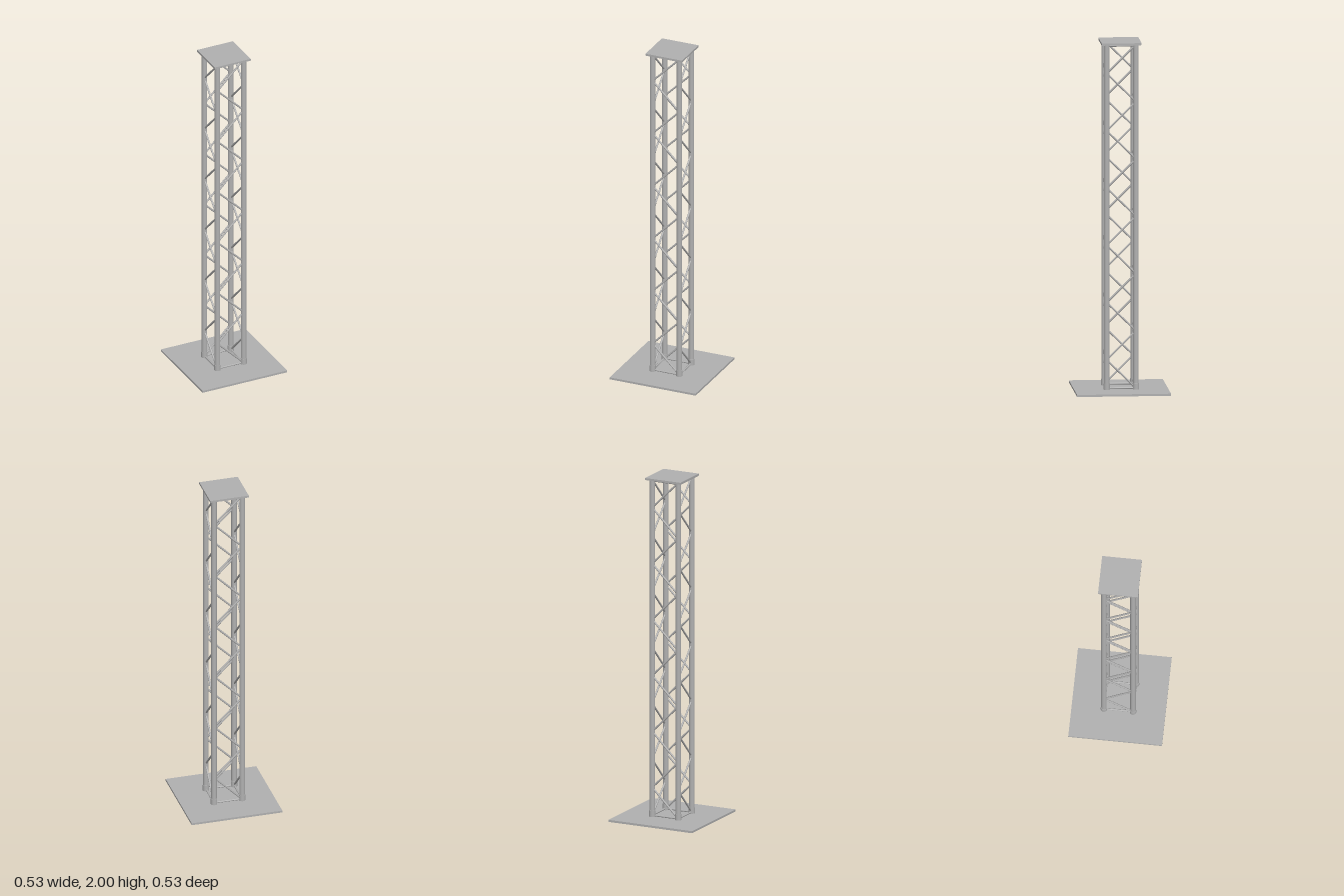
import * as THREE from 'three';

const LEG = 0.083;      // leg centre offset from the axis
const BASE_H = 0.012;
const TOP_H = 0.012;

export function createModel() {
  const model = new THREE.Group();
  model.name = 'trussTower';
  const metal = new THREE.MeshStandardMaterial({ color: 0xb0b0b0 });
  metal.name = 'grey metal';

  const add = (parent, name, geometry, x, y, z) => {
    const mesh = new THREE.Mesh(geometry, metal);
    mesh.name = name;
    mesh.position.set(x, y, z);
    parent.add(mesh);
    return mesh;
  };

  // Round bar between two points
  const bar = (parent, name, a, b, radius) => {
    const dir = b.clone().sub(a);
    const mesh = add(parent, name, new THREE.CylinderGeometry(radius, radius, dir.length(), 10),
      ...a.clone().add(b).multiplyScalar(0.5).toArray());
    mesh.quaternion.setFromUnitVectors(new THREE.Vector3(0, 1, 0), dir.normalize());
  };

  // Floor plate and top plate
  add(model, 'basePlate', new THREE.BoxGeometry(0.534, BASE_H, 0.534), 0, BASE_H / 2, 0);
  add(model, 'topPlate', new THREE.BoxGeometry(0.227, TOP_H, 0.227), 0, 2 - TOP_H / 2, 0);

  // Four legs with foot collars
  const legHeight = 2 - TOP_H - BASE_H;
  for (const x of [-LEG, LEG]) {
    for (const z of [-LEG, LEG]) {
      add(model, 'leg', new THREE.CylinderGeometry(0.016, 0.016, legHeight, 24), x, BASE_H + legHeight / 2, z);
      add(model, 'footCollar', new THREE.CylinderGeometry(0.0185, 0.0185, 0.036, 24), x, BASE_H + 0.018, z);
    }
  }

  // Each side has one zigzag lacing; opposite sides cross in elevation
  const bays = 12, y0 = 0.018, step = 0.1642;
  for (let side = 0; side < 4; side++) {
    const face = new THREE.Group();
    face.name = 'lacedSide';
    face.rotation.y = side * Math.PI / 2;
    for (let i = 0; i < bays; i++) {
      const s = i % 2 ? 1 : -1;
      bar(face, 'diagonalBrace',
        new THREE.Vector3(-s * LEG, y0 + i * step, LEG),
        new THREE.Vector3(s * LEG, y0 + (i + 1) * step, LEG), 0.0055);
    }
    // Horizontal ties at foot and head
    for (const y of [0.019, 1.982]) {
      bar(face, 'horizontalTie', new THREE.Vector3(-LEG, y, LEG), new THREE.Vector3(LEG, y, LEG), 0.0055);
    }
    model.add(face);
  }
  return model;
}
